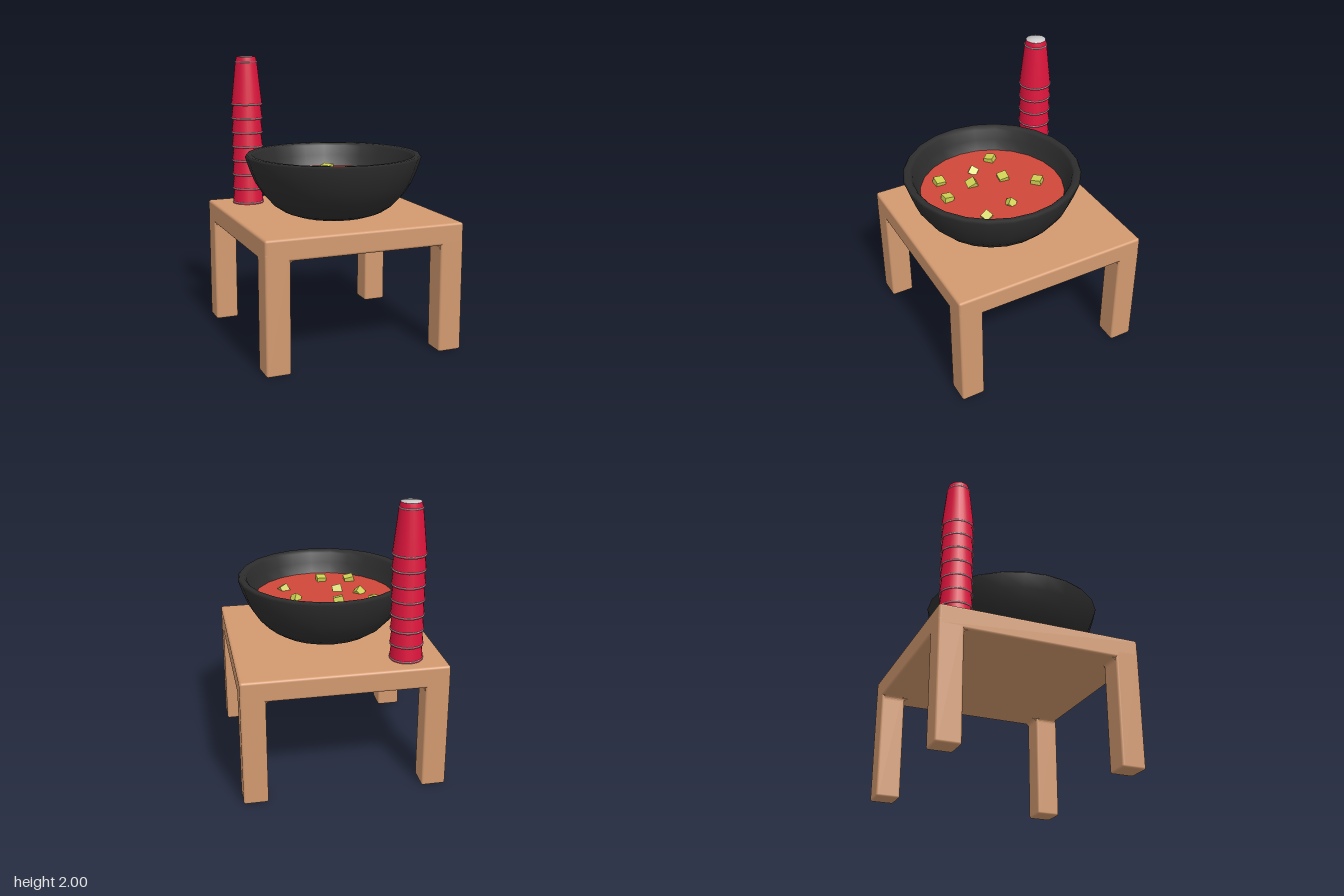
import * as THREE from 'three';
import { RoundedBoxGeometry } from 'three/addons/geometries/RoundedBoxGeometry.js';

const paint = (color, extra = {}) => new THREE.MeshStandardMaterial({ color, ...extra });
const wood = paint(0xd2996f);
const black = paint(0x2d2d2d);
const red = paint(0xdc143c, { side: THREE.DoubleSide });
const grey = paint(0xcccccc);
const soupRed = paint(0xd0473a);
const green = paint(0xcdd052, { flatShading: true });

function part(name, geometry, material, x = 0, y = 0, z = 0) {
  const mesh = new THREE.Mesh(geometry, material);
  mesh.name = name;
  mesh.position.set(x, y, z);
  return mesh;
}

const lathe = (points, sides) =>
  new THREE.LatheGeometry(points.map(([r, y]) => new THREE.Vector2(r, y)), sides);

function makeTable() {
  const table = new THREE.Group();
  table.name = 'table';
  table.add(part('tableTop', new RoundedBoxGeometry(1.42, 0.15, 1.42, 3, 0.018), wood, 0, 0.835, 0));

  // small curved brace where a leg meets the underside
  const r = 0.03;
  const brace = new THREE.Shape();
  brace.moveTo(0.01, 0.01);
  brace.lineTo(-r, 0.01);
  brace.lineTo(-r, 0);
  brace.quadraticCurveTo(0, 0, 0, -r);
  brace.lineTo(0.01, -r);
  const braceGeo = new THREE.ExtrudeGeometry(brace, { depth: 0.14, bevelEnabled: false, curveSegments: 5 });
  const legGeo = new RoundedBoxGeometry(0.17, 0.82, 0.17, 3, 0.015);

  for (let i = 0; i < 4; i++) {
    const corner = new THREE.Group();
    corner.name = 'leg' + (i + 1);
    corner.rotation.y = i * Math.PI / 2;
    corner.add(part('legPost', legGeo, wood, 0.625, 0.41, 0.625));
    corner.add(part('braceSide', braceGeo, wood, 0.54, 0.76, 0.555));
    const other = part('braceBack', braceGeo, wood, 0.695, 0.76, 0.54);
    other.rotation.y = -Math.PI / 2;
    corner.add(other);
    table.add(corner);
  }
  return table;
}

function makeBowl() {
  const bowl = new THREE.Group();
  bowl.name = 'bowlOfSoup';
  bowl.position.set(0, 0.91, 0.09);
  // outer wall, rim, then inner wall
  bowl.add(part('bowl', lathe([
    [0, 0.001], [0.28, 0.001], [0.36, 0.03], [0.435, 0.08], [0.5, 0.15], [0.555, 0.235],
    [0.59, 0.32], [0.622, 0.415], [0.61, 0.43], [0.575, 0.428], [0.56, 0.41],
    [0.54, 0.34], [0.505, 0.25], [0.46, 0.18],
  ], 24), black));
  bowl.add(part('soup', lathe([[0.513, 0.262], [0, 0.262]], 24), soupRed));

  // diced pieces: x, z, size, and tilt about x, y, z
  const pieces = [
    [0.08, -0.32, 0.073, 0.05, 0.75, 0.05], [-0.335, -0.16, 0.068, 0.1, 0.7, 0.1],
    [-0.08, -0.13, 0.07, 0.2, -0.15, -0.2], [0.215, -0.03, 0.055, 0.6, 0.6, 0.4],
    [-0.26, 0.02, 0.06, 0.7, 0.4, 0.7], [-0.115, 0.1, 0.068, 0.5, -0.2, -0.15],
    [0.27, 0.185, 0.06, 0.45, 0.25, -0.5], [-0.245, 0.3, 0.07, -0.1, 0, -0.2],
    [-0.035, 0.335, 0.068, -0.15, 0.05, 0.05],
  ];
  pieces.forEach(([x, z, size, rx, ry, rz], i) => {
    const piece = part('dicedPiece' + (i + 1), new THREE.BoxGeometry(size, size, size), green, x, 0.262, z);
    piece.rotation.set(rx, ry, rz);
    bowl.add(piece);
  });
  return bowl;
}

function makeCups() {
  const stack = new THREE.Group();
  stack.name = 'cupStack';
  stack.position.set(-0.45, 0.91, -0.51);
  const wall = lathe([[0.115, 0], [0.08, 0.315], [0.07, 0.355], [0, 0.355]].slice(0, 3), 24);
  const ring = (r) => new THREE.TorusGeometry(r, 0.005, 6, 24).rotateX(Math.PI / 2);
  const rimRing = ring(0.112);
  const topRing = ring(0.078);

  // base disc: flattened dome that keeps its rounded shading
  const disc = new THREE.SphereGeometry(0.1, 24, 6, 0, Math.PI * 2, 0, Math.asin(0.7));
  const p = disc.attributes.position;
  for (let i = 0; i < p.count; i++) p.setY(i, 0);

  for (let i = 0; i < 8; i++) {
    const cup = new THREE.Group();
    cup.name = 'cup' + (i + 1);
    cup.position.y = i * 0.105;
    cup.add(part('cupWall', wall, red));
    cup.add(part('cupRim', rimRing, grey, 0, 0.01, 0));
    if (i === 7) {
      cup.add(part('cupBand', topRing, grey, 0, 0.317, 0));
      cup.add(part('cupBase', disc, grey, 0, 0.355, 0));
    }
    stack.add(cup);
  }
  return stack;
}

export function createModel() {
  const model = new THREE.Group();
  model.name = 'tableWithSoupAndCups';
  model.add(makeTable(), makeBowl(), makeCups());
  return model;
}
